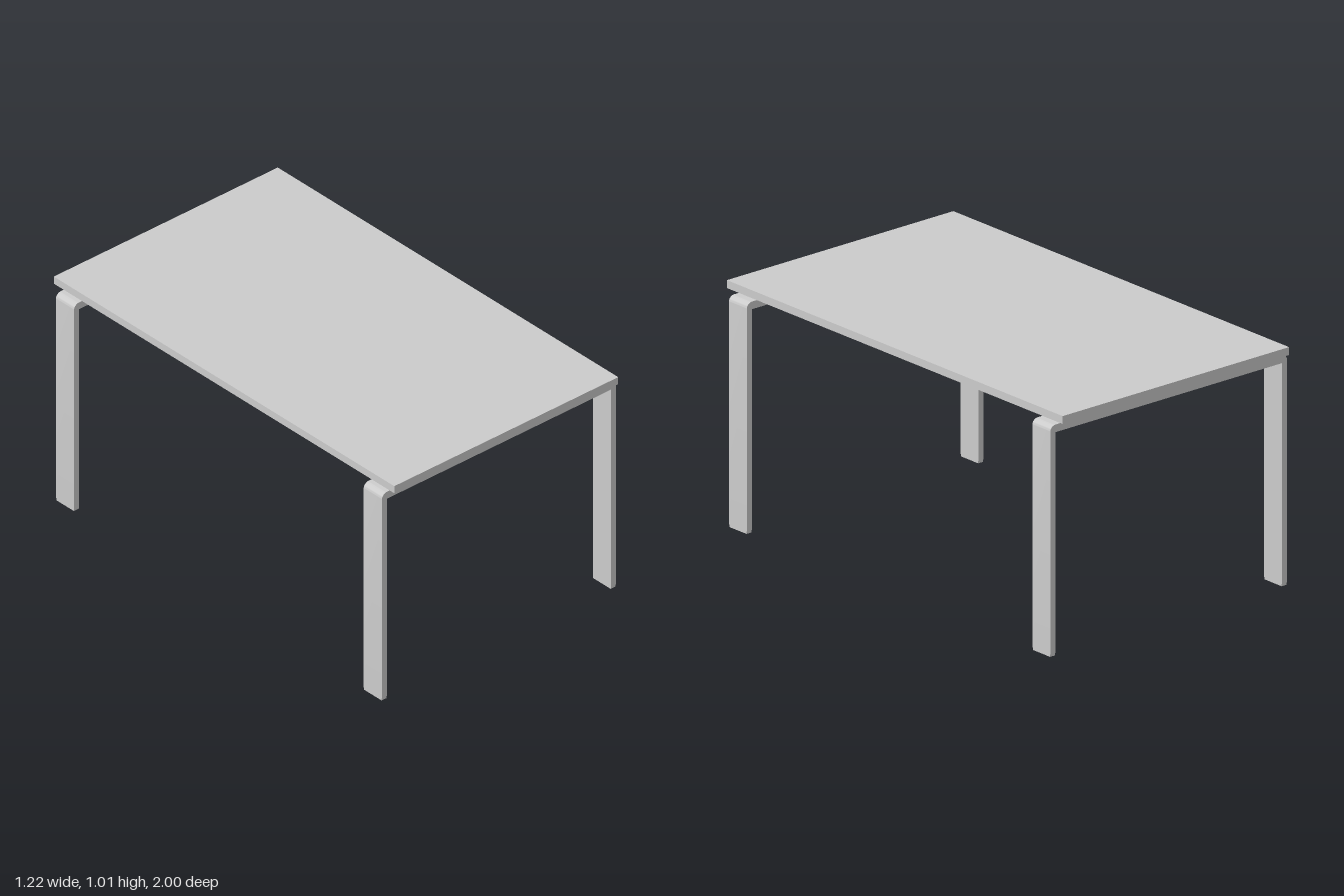
import * as THREE from 'three';
import { toCreasedNormals } from 'three/addons/utils/BufferGeometryUtils.js';

const HALF_W = 0.612, INNER = 0.585;      // leg outer and inner faces
const BAR_TOP = 0.963, BAR_LOW = 0.931;   // crossbar
const LEG_DEPTH = 0.107, LEG_Z = 0.904;   // depth and centre of each frame
const FOOT = 0.01, R = 0.026;

export function createModel() {
  const table = new THREE.Group();
  table.name = 'table';
  const material = new THREE.MeshStandardMaterial({ color: 0xcccccc });
  const add = (parent, name, geometry, x, y, z) => {
    const mesh = new THREE.Mesh(geometry, material);
    mesh.name = name;
    mesh.position.set(x, y, z);
    parent.add(mesh);
  };

  // Flat top, floating just above the frames
  add(table, 'tableTop', new THREE.BoxGeometry(2 * INNER, 0.033, 2), 0, 0.9935, 0);

  // Upside-down U with rounded outer shoulders
  const outline = new THREE.Shape();
  outline.moveTo(-HALF_W, FOOT);
  outline.lineTo(-INNER, FOOT);
  outline.lineTo(-INNER, BAR_LOW);
  outline.lineTo(INNER, BAR_LOW);
  outline.lineTo(INNER, FOOT);
  outline.lineTo(HALF_W, FOOT);
  outline.lineTo(HALF_W, BAR_TOP - R);
  outline.absarc(HALF_W - R, BAR_TOP - R, R, 0, Math.PI / 2, false);
  outline.lineTo(-HALF_W + R, BAR_TOP);
  outline.absarc(-HALF_W + R, BAR_TOP - R, R, Math.PI / 2, Math.PI, false);
  const frame = toCreasedNormals(
    new THREE.ExtrudeGeometry(outline, { depth: LEG_DEPTH, bevelEnabled: false, curveSegments: 8 })
      .translate(0, 0, -LEG_DEPTH / 2), 0.6);
  const pad = new THREE.BoxGeometry(HALF_W - INNER - 0.001, FOOT, LEG_DEPTH - 0.004);

  // One leg frame at each end, with a thin pad under each leg
  for (const [name, side] of [['front', 1], ['back', -1]]) {
    const end = new THREE.Group();
    end.name = name + 'Legs';
    end.position.z = side * LEG_Z;
    add(end, name + 'LegFrame', frame, 0, 0, 0);
    for (const [hand, s] of [['Left', 1], ['Right', -1]])
      add(end, name + hand + 'FootPad', pad, s * (HALF_W + INNER) / 2, FOOT / 2, 0);
    table.add(end);
  }
  return table;
}
